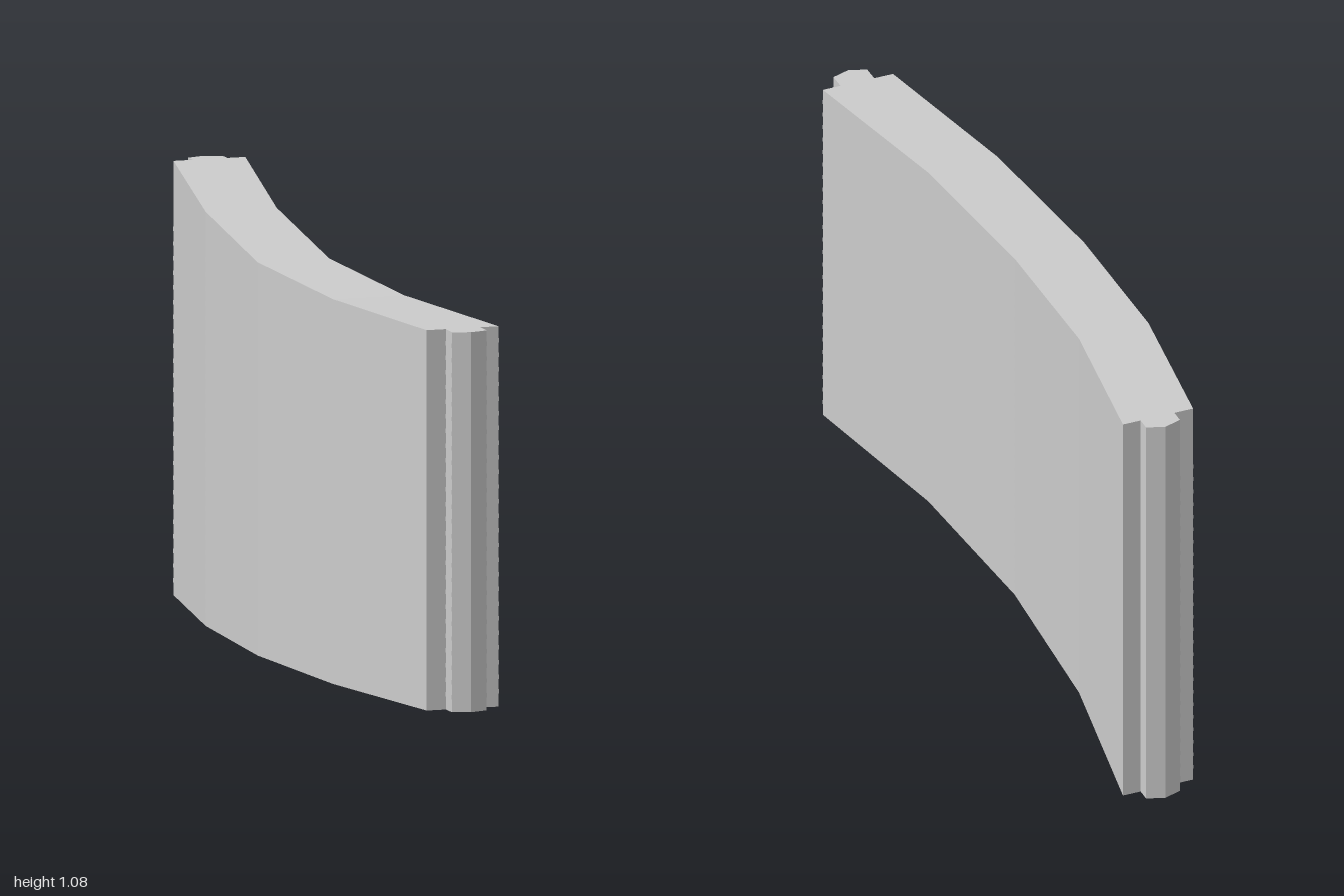
import * as THREE from 'three';

// Plan stations from front to back: z, outer x, inner x, top height
const STATIONS = [
  [1.0, 0.055, 0.055, 0.945],
  [0.985, 0.01, 0.1, 0.945],
  [0.94, 0.01, 0.1, 0.946],
  [0.94, -0.04, 0.147, 0.946],
  [0.475, -0.122, 0.063, 0.957],
  [0.0, -0.152, 0.034, 0.978],
  [-0.475, -0.122, 0.063, 1.03],
  [-0.95, -0.04, 0.147, 1.08],
  [-0.95, 0.01, 0.1, 1.08],
  [-0.985, 0.01, 0.1, 1.08],
  [-1.0, 0.055, 0.055, 1.08],
];

// Side walls between two heights, optionally closed above and below
function loft(bottom, topOf, offset, capped) {
  const pos = [];
  const quad = (a, b, c, d) => pos.push(...a, ...b, ...c, ...a, ...c, ...d);
  const rings = STATIONS.map(([z, xl, xr, h]) => {
    const zz = z + Math.sign(z) * offset;
    const top = topOf(h);
    return {
      l0: [xl - offset, bottom, zz], l1: [xl - offset, top, zz],
      r0: [xr + offset, bottom, zz], r1: [xr + offset, top, zz],
    };
  });
  for (let i = 0; i < rings.length - 1; i++) {
    const a = rings[i], b = rings[i + 1];
    quad(b.l0, a.l0, a.l1, b.l1);
    quad(a.r0, b.r0, b.r1, a.r1);
    if (capped) {
      quad(a.l1, a.r1, b.r1, b.l1);
      quad(a.l0, b.l0, b.r0, a.r0);
    }
  }
  const geometry = new THREE.BufferGeometry();
  geometry.setAttribute('position', new THREE.Float32BufferAttribute(pos, 3));
  geometry.computeVertexNormals();
  return geometry;
}

export function createModel() {
  const group = new THREE.Group();
  group.name = 'curvedPanel';

  // Curved panel with a tongue at each end and a rising top edge
  const grey = new THREE.MeshStandardMaterial({ color: 0xcccccc, flatShading: true });
  const panel = new THREE.Mesh(loft(0, (h) => h, 0, true), grey);
  panel.name = 'panel';
  group.add(panel);

  // Thin, paler horizontal bands running round the walls
  const pale = new THREE.MeshStandardMaterial({ color: 0xe6e6e6, flatShading: true });
  const bands = new THREE.Group();
  bands.name = 'bands';
  for (let i = 0; i < 25; i++) {
    const y = 0.038 + i * 0.0364;
    const band = new THREE.Mesh(loft(y - 0.0055, () => y + 0.0055, 0.001, false), pale);
    band.name = 'band';
    bands.add(band);
  }
  group.add(bands);
  return group;
}
